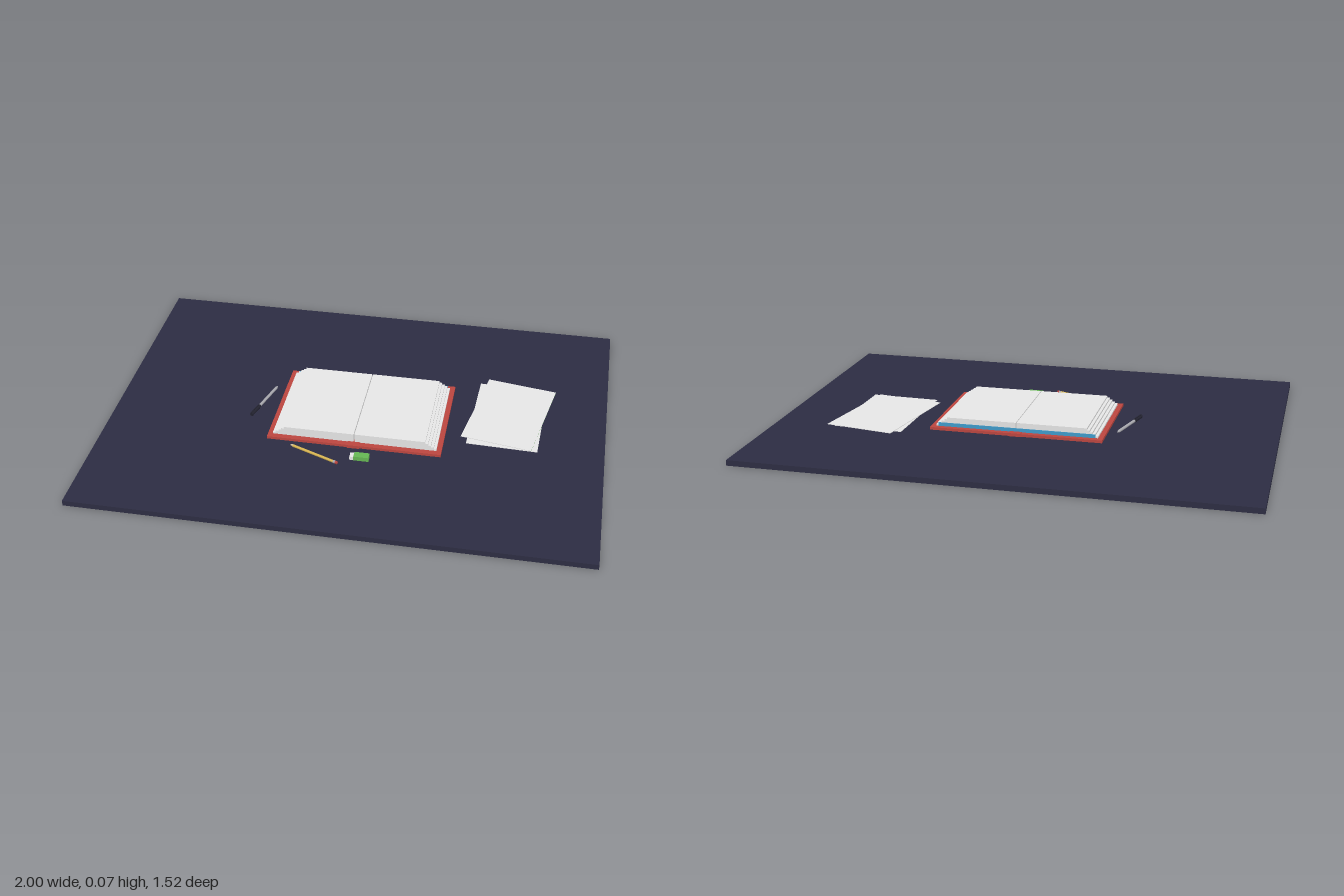
import * as THREE from 'three';

const mat = (name, color) => {
  const m = new THREE.MeshStandardMaterial({ color });
  m.name = name;
  return m;
};

export function createModel() {
  const root = new THREE.Group();
  root.name = 'deskWithOpenBook';
  const navy = mat('navy', 0x2d2d43), red = mat('coverRed', 0xbd4640);
  const paper = mat('paperWhite', 0xfcfcfc), green = mat('green', 0x66b854);
  const yellow = mat('pencilYellow', 0xdcb852), blue = mat('blue', 0x3f9ccc);
  const dark = mat('penDark', 0x232330), silver = mat('silver', 0xa8a8ae);
  const wood = mat('paleWood', 0xe2cba4);
  const TOP = 0.022;

  const box = (name, w, h, d, x, y, z, material, parent = root) => {
    const m = new THREE.Mesh(new THREE.BoxGeometry(w, h, d), material);
    m.name = name;
    m.position.set(x, y + h / 2, z);
    parent.add(m);
    return m;
  };

  // Table top
  box('tableTop', 2, TOP, 1.52, 0, 0, 0, navy);

  // Open book: cover, spine and two stepped page stacks
  const book = new THREE.Group();
  book.name = 'book';
  book.position.set(0.016, TOP, -0.002);
  root.add(book);
  box('cover', 0.7, 0.011, 0.482, 0, 0, 0, red, book);
  box('spine', 0.05, 0.013, 0.49, 0, 0, 0, red, book);
  const layers = 5, h = 0.037 / layers;
  for (const side of [-1, 1]) {
    for (let i = 0; i < layers; i++) {
      const w = 0.33 - 0.045 * (i / (layers - 1));
      box('pages', w - 0.0015, h, 0.435, side * (w / 2 + 0.00075), 0.011 + i * h, 0, paper, book);
    }
  }
  // Coloured strip on the back edge of the lower pages
  box('backPageStrip', 0.64, 0.015, 0.002, 0, 0.011, -0.2185, blue, book);

  // Loose sheets, with one coloured edge
  const edged = [green, paper, paper, paper, paper, paper];
  box('lowerSheet', 0.284, 0.002, 0.43, 0.603, TOP, -0.08, edged).rotation.y = -0.035;
  box('upperSheet', 0.289, 0.002, 0.431, 0.607, TOP + 0.0025, -0.097, edged).rotation.y = -0.17;

  // Round stick lying between two points, made of [name, from, to, r0, r1, material] pieces
  const stick = (name, a, b, y, pieces) => {
    const g = new THREE.Group();
    g.name = name;
    const dir = new THREE.Vector3(b[0] - a[0], 0, b[1] - a[1]);
    const len = dir.length();
    g.position.set(a[0], y, a[1]);
    g.quaternion.setFromUnitVectors(new THREE.Vector3(0, 1, 0), dir.normalize());
    for (const [part, s, e, r0, r1, material, n] of pieces) {
      const m = new THREE.Mesh(new THREE.CylinderGeometry(r1, r0, (e - s) * len, n), material);
      m.name = part;
      m.position.y = (s + e) / 2 * len;
      g.add(m);
    }
    root.add(g);
  };
  stick('pencil', [-0.235, 0.268], [-0.025, 0.354], TOP + 0.006, [
    ['pencilLead', 0, 0.025, 0.0005, 0.002, dark, 6],
    ['pencilTip', 0.025, 0.08, 0.002, 0.006, wood, 6],
    ['pencilBody', 0.08, 0.92, 0.006, 0.006, yellow, 6],
    ['pencilFerrule', 0.92, 0.96, 0.0063, 0.0063, silver, 12],
    ['pencilEraser', 0.96, 1, 0.006, 0.006, red, 12],
  ]);
  stick('pen', [-0.373, -0.12], [-0.432, 0.1], TOP + 0.0075, [
    ['penTip', 0, 0.06, 0.001, 0.0055, silver, 12],
    ['penBody', 0.06, 0.7, 0.006, 0.006, silver, 12],
    ['penCap', 0.7, 1, 0.0075, 0.0075, dark, 12],
  ]);
  // Pen clip
  const clip = box('penClip', 0.004, 0.003, 0.06, -0.425, TOP + 0.0145, 0.07, dark);
  clip.rotation.y = -0.262;

  // Eraser block in a green sleeve
  box('eraser', 0.02, 0.015, 0.029, 0.026, TOP, 0.303, paper);
  box('eraserSleeve', 0.06, 0.018, 0.032, 0.062, TOP, 0.303, green);

  return root;
}
